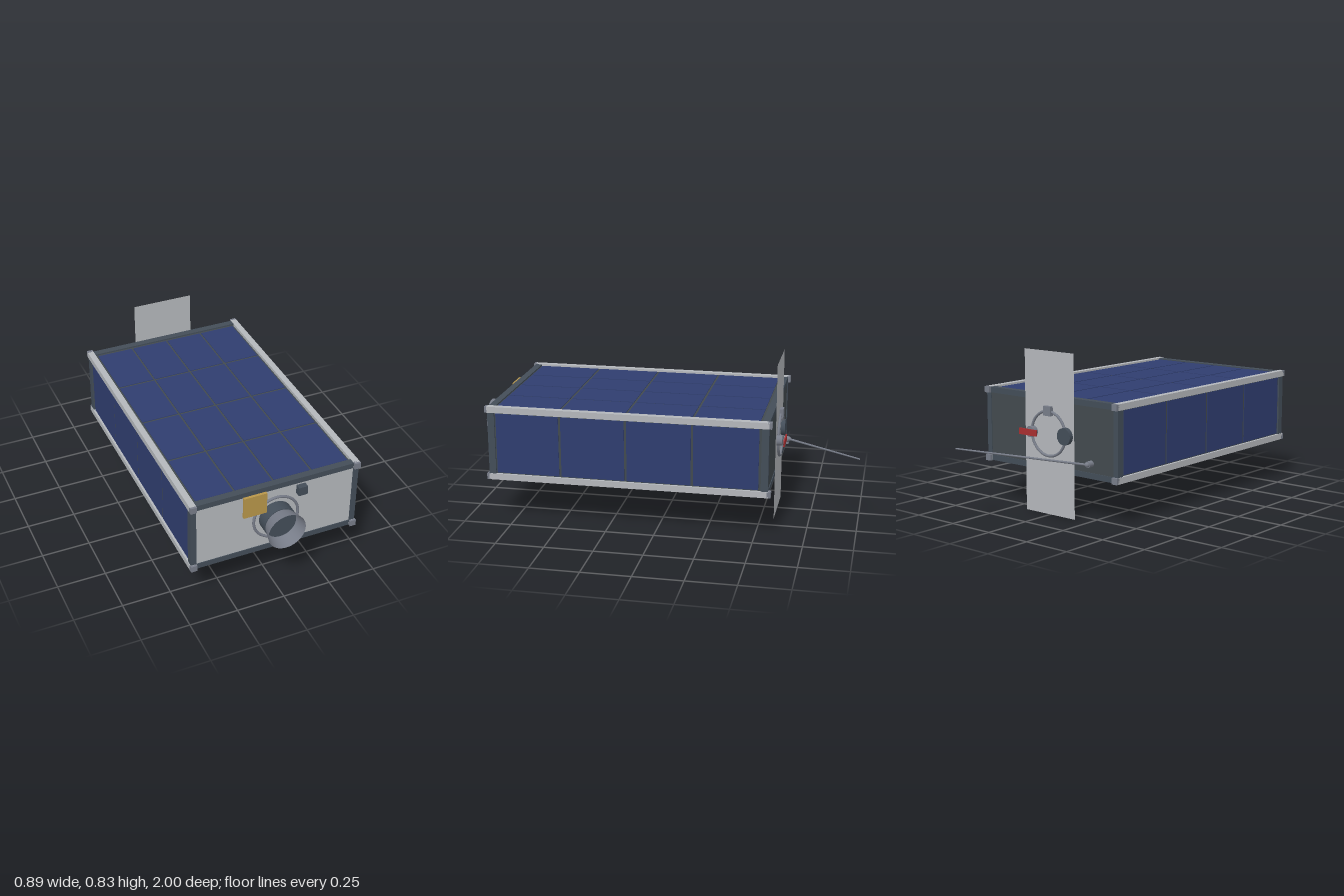
import * as THREE from 'three';

const mat = (name, color, side = THREE.FrontSide) => {
  const m = new THREE.MeshStandardMaterial({ color, side });
  m.name = name;
  return m;
};

export function createModel() {
  const slate = mat('slate frame', 0x434d58);
  const dark = mat('dark hull', 0x424a4e);
  const light = mat('light aluminium', 0xb4b7bb, THREE.DoubleSide);
  const steel = mat('mid steel', 0x777c88, THREE.DoubleSide);
  const blue = mat('solar blue', 0x2f3d6f);
  const gold = mat('gold foil', 0xb8964a);
  const red = mat('red tag', 0xa82e30);

  const model = new THREE.Group();
  model.name = 'satellite';
  const CY = 0.415, Z0 = -0.566, Z1 = 0.873, ZM = (Z0 + Z1) / 2;

  const add = (name, geo, material, x, y, z, parent = model) => {
    const m = new THREE.Mesh(geo, material);
    m.name = name;
    m.position.set(x, y, z);
    parent.add(m);
    return m;
  };
  const box = (name, material, w, h, d, x, y, z, parent) =>
    add(name, new THREE.BoxGeometry(w, h, d), material, x, y, z, parent);
  // Cylinder whose axis runs along z
  const disc = (name, material, r, d, x, y, z) =>
    add(name, new THREE.CylinderGeometry(r, r, d, 40).rotateX(Math.PI / 2), material, x, y, z);

  // Hull and front face plate
  box('hull', dark, 0.85, 0.356, 1.42, 0, CY, ZM);
  box('frontPlate', light, 0.83, 0.33, 0.008, 0, CY, 0.865);
  box('backPlate', dark, 0.83, 0.33, 0.008, 0, CY, -0.558);

  // End frames
  for (const z of [Z0 + 0.018, Z1 - 0.018]) {
    for (const s of [-1, 1]) {
      box('frameBar', slate, 0.83, 0.029, 0.036, 0, CY + s * 0.178, z);
      box('framePost', slate, 0.029, 0.33, 0.036, s * 0.426, CY, z);
    }
  }

  // Long corner rails with end caps
  for (const sx of [-1, 1]) for (const sy of [-1, 1]) {
    const x = sx * 0.428, y = CY + sy * 0.179;
    box('rail', light, 0.032, 0.032, Z1 - Z0 + 0.002, x, y, ZM);
    for (const z of [Z0 - 0.004, Z1 + 0.003])
      box('railCap', steel, 0.032, 0.032, 0.02, x, y, z);
  }

  // Solar cells: four by four above and below, one row of four on each side
  const zStart = -0.523, pitch = 0.34, cellZ = 0.328;
  for (const s of [-1, 1]) {
    box('solarBacking', dark, 0.815, 0.012, 1.37, 0, CY + s * 0.179, ZM);
    box('sideBacking', dark, 0.012, 0.325, 1.37, s * 0.426, CY, ZM);
    for (let k = 0; k < 4; k++) {
      const z = zStart + pitch * (k + 0.5);
      for (let i = 0; i < 4; i++)
        box('solarCell', blue, 0.192, 0.008, cellZ, (i - 1.5) * 0.202, CY + s * 0.184, z);
      box('sideSolarCell', blue, 0.008, 0.316, cellZ, s * 0.431, CY, z);
    }
  }

  // Front nozzle: mounting ring, dark barrel and open flared cone
  add('mountRing', new THREE.TorusGeometry(0.117, 0.007, 12, 64), steel, 0, CY, 0.877);
  disc('barrel', slate, 0.085, 0.063, 0, CY, 0.9);
  const cone = new THREE.CylinderGeometry(0.098, 0.08, 0.073, 48, 1, true).rotateX(Math.PI / 2);
  add('flaredCone', cone, steel, 0, CY, 0.9635);

  // Front instruments
  box('goldPatch', gold, 0.119, 0.117, 0.014, -0.12, 0.534, 0.892);
  box('goldPatchMount', slate, 0.05, 0.05, 0.018, -0.12, 0.54, 0.877);
  box('sensor', slate, 0.047, 0.047, 0.03, 0.13, 0.545, 0.885);

  // Thin vertical sail behind the body
  add('sail', new THREE.PlaneGeometry(0.328, 0.828), light, 0, 0.414, -0.569);

  // Back ring with its three fittings
  add('backRing', new THREE.TorusGeometry(0.113, 0.007, 12, 64), steel, 0, CY, -0.577);
  disc('roundFitting', slate, 0.043, 0.022, -0.112, CY, -0.58);
  disc('tagPost', steel, 0.028, 0.032, 0.108, CY, -0.583);
  box('squareFitting', steel, 0.048, 0.048, 0.02, 0, CY + 0.115, -0.58);
  box('redTag', red, 0.118, 0.032, 0.007, 0.108, CY, -0.612);

  // Slanted whip antenna and its foot
  const a = new THREE.Vector3(-0.27, 0.298, -0.595);
  const b = new THREE.Vector3(0.22, 0.378, -0.998);
  disc('antennaFoot', steel, 0.016, 0.03, a.x, a.y, -0.578);
  add('antennaJoint', new THREE.SphereGeometry(0.013, 16, 12), steel, a.x, a.y, a.z);
  const rod = add('antenna', new THREE.CylinderGeometry(0.004, 0.006, a.distanceTo(b), 12), steel, 0, 0, 0);
  rod.position.copy(a).lerp(b, 0.5);
  rod.quaternion.setFromUnitVectors(new THREE.Vector3(0, 1, 0), b.clone().sub(a).normalize());

  return model;
}
